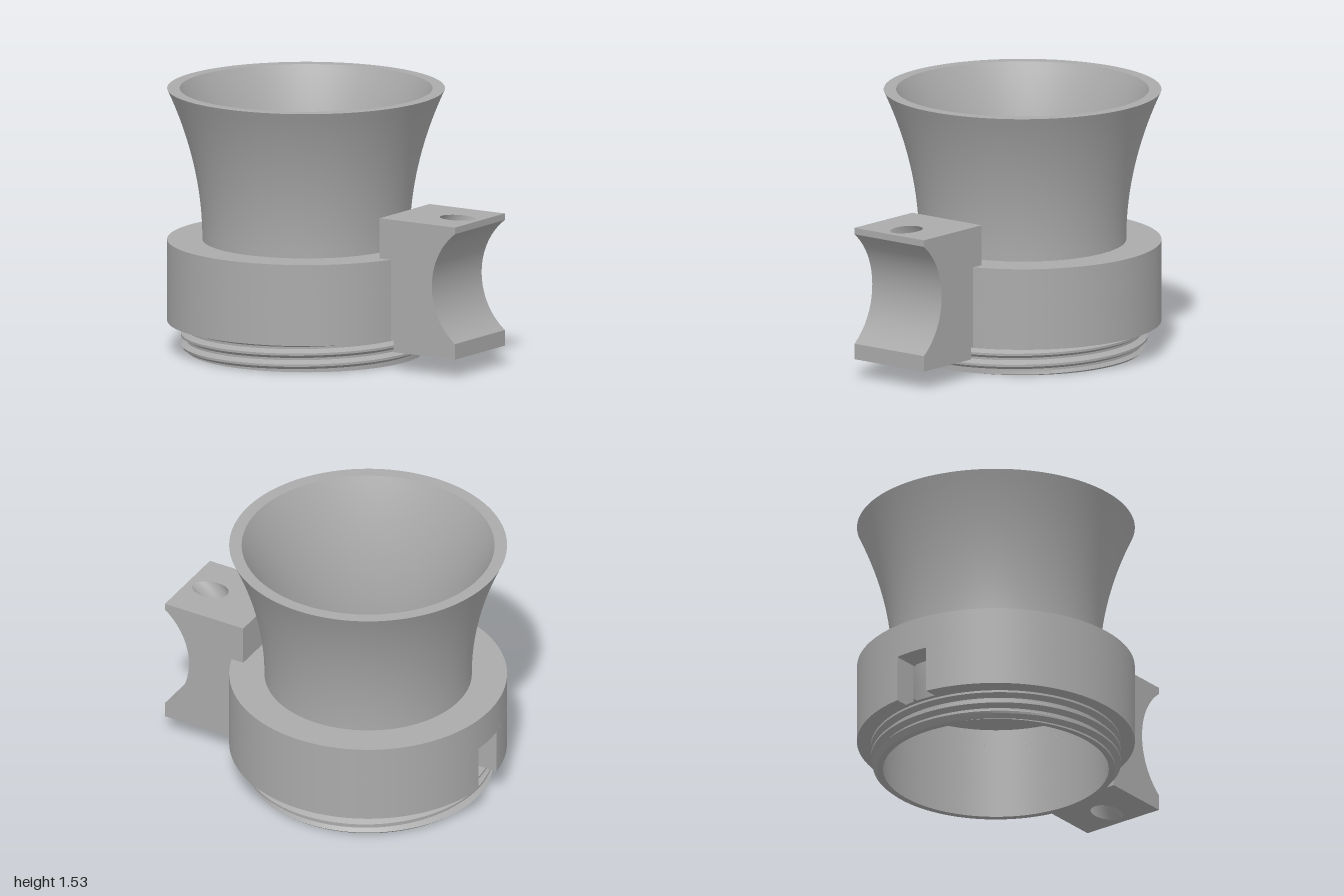
import * as THREE from 'three';
import { toCreasedNormals, mergeGeometries } from 'three/addons/utils/BufferGeometryUtils.js';

const V = (x, y) => new THREE.Vector2(x, y);
const SEG = 128;
const H = 1.535, SHOULDER = 0.65, RIM = 0.175, SLOT_TOP = 0.45, BORE = 0.65;

function lathe(points, crease = 0.5) {
  return toCreasedNormals(new THREE.LatheGeometry(points, SEG), crease);
}

// Flared funnel with shoulder, throat and inner shelf, one closed profile
function funnelGeometry() {
  const pts = [V(BORE, SLOT_TOP), V(0.8, SLOT_TOP), V(0.8, SHOULDER)];
  const n = 20;
  for (let i = 0; i <= n; i++) {
    const t = i / n;
    pts.push(V(0.597 + 0.203 * t * t, SHOULDER + (H - SHOULDER) * t));
  }
  for (let i = n; i >= 0; i--) {
    const t = i / n;
    pts.push(V(0.52 + 0.208 * t * t, SHOULDER + (H - SHOULDER) * t));
  }
  pts.push(V(0.52, 0.55), V(BORE, 0.55), V(BORE, SLOT_TOP));
  return lathe(pts);
}

// Lower collar: a C-shaped ring, open at the side slot
function collarGeometry() {
  const w = 0.105, a = Math.asin(w / 0.8), b = Math.asin(w / BORE);
  const s = new THREE.Shape();
  s.absarc(0, 0, 0.8, -Math.PI + a, Math.PI - a, false);
  s.absarc(0, 0, BORE, Math.PI - b, -Math.PI + b, true);
  s.closePath();
  const g = new THREE.ExtrudeGeometry(s, { depth: SLOT_TOP - RIM, bevelEnabled: false, curveSegments: SEG });
  g.rotateX(-Math.PI / 2).translate(0, RIM, 0);
  return toCreasedNormals(g, 0.5);
}

// Helical screw thread: a ridged profile sheared by one pitch per turn
function threadGeometry() {
  const pitch = 0.065, root = 0.685, crest = 0.72, pts = [];
  for (let k = -1; k < 4; k++) {
    for (const [f, r] of [[0, root], [0.2, root], [0.5, crest], [0.7, crest]]) pts.push(V(r, (k + f) * pitch));
  }
  const g = new THREE.LatheGeometry(pts, SEG);
  const p = g.attributes.position, rows = pts.length;
  for (let i = 0; i < p.count; i++) {
    const turn = Math.floor(i / rows) / SEG;
    const y = THREE.MathUtils.clamp(p.getY(i) + pitch * turn, 0, RIM);
    const r = Math.min(pts[i % rows].x, root + y * 1.2);
    const a = turn * Math.PI * 2;
    p.setXYZ(i, r * Math.sin(a), y, r * Math.cos(a));
  }
  return toCreasedNormals(g, 0.4);
}

// Clamp block with a concave seat and a curved tie tunnel
const HALF = 0.26, TOP = 0.885, BOTTOM = 0.11, BACK = 0.48, FOOT = 0.575;
const CX = 1.245, MID = (TOP + BOTTOM) / 2, RISE = (TOP - BOTTOM) / 2;
const TUNNEL_R = 0.56, TUNNEL_W = 0.08;

function blockGeometry() {
  const pts = [V(FOOT, BOTTOM), V(1, BOTTOM)];
  const r = 0.405, cy = 0.524, sweep = Math.acos((CX - 1) / r);
  const n = 32;
  for (let i = 0; i <= n; i++) {
    const a = -sweep + (2 * sweep * i) / n;
    pts.push(V(CX - r * Math.cos(a), cy + r * Math.sin(a)));
  }
  pts.push(V(1, TOP), V(BACK, TOP), V(BACK, 0.18), V(FOOT, 0.18));
  // Walls around the profile, leaving out the floor and the roof
  const pos = [];
  pts.forEach((a, i) => {
    const b = pts[(i + 1) % pts.length];
    if (a.y === b.y && (a.y === TOP || a.y === BOTTOM)) return;
    pos.push(a.x, a.y, HALF, a.x, a.y, -HALF, b.x, b.y, -HALF);
    pos.push(a.x, a.y, HALF, b.x, b.y, -HALF, b.x, b.y, HALF);
  });
  const walls = new THREE.BufferGeometry();
  walls.setAttribute('position', new THREE.Float32BufferAttribute(pos, 3));
  const front = new THREE.ShapeGeometry(new THREE.Shape(pts));
  front.deleteAttribute('uv');
  const back = front.clone().rotateY(Math.PI).scale(1, 1, 1);
  back.dispose();
  const mirrored = new THREE.ShapeGeometry(new THREE.Shape(pts.map(p => V(-p.x, p.y)))).rotateY(Math.PI);
  mirrored.deleteAttribute('uv');
  const parts = [
    toCreasedNormals(walls, 0.5),
    front.translate(0, 0, HALF).toNonIndexed(),
    mirrored.translate(0, 0, -HALF).toNonIndexed(),
    plate(BACK, TOP, -1),
    plate(FOOT, BOTTOM, 1),
  ];
  return mergeGeometries(parts);
}

// Roof or floor of the block, with the tunnel mouth cut out
function plate(x0, y, dir) {
  const s = new THREE.Shape([V(x0, -HALF), V(1, -HALF), V(1, HALF), V(x0, HALF)]);
  const mouth = [];
  for (let i = 0; i < 40; i++) {
    const a = (i / 40) * Math.PI * 2, rho = TUNNEL_R + TUNNEL_W * Math.cos(a);
    mouth.push(V(CX - Math.sqrt(rho * rho - RISE * RISE), TUNNEL_W * Math.sin(a)));
  }
  s.holes.push(new THREE.Path(mouth));
  const g = new THREE.ShapeGeometry(s).rotateX((dir * Math.PI) / 2).translate(0, y, 0);
  g.deleteAttribute('uv');
  return g.toNonIndexed();
}

// Curved tunnel, trimmed level with the roof and the floor
function tunnelGeometry() {
  const g = new THREE.PlaneGeometry(1, 1, 40, 24);
  const p = g.attributes.position;
  for (let i = 0; i < p.count; i++) {
    const a = (p.getX(i) + 0.5) * Math.PI * 2;
    const rho = TUNNEL_R + TUNNEL_W * Math.cos(a);
    const b = 2 * p.getY(i) * Math.asin(RISE / rho);
    p.setXYZ(i, CX - rho * Math.cos(b), MID + rho * Math.sin(b), TUNNEL_W * Math.sin(a));
  }
  g.computeVertexNormals();
  return g;
}

export function createModel() {
  const model = new THREE.Group();
  model.name = 'threadedFunnelMount';
  const grey = new THREE.MeshStandardMaterial({ color: 0xaaaaaa, side: THREE.DoubleSide });
  grey.name = 'plainGrey';
  const add = (name, geometry, parent) => {
    const m = new THREE.Mesh(geometry, grey);
    m.name = name;
    parent.add(m);
  };

  // Round body, set off to the right of the block
  const body = new THREE.Group();
  body.name = 'body';
  body.position.x = -0.2;
  add('funnel', funnelGeometry(), body);
  add('slottedCollar', collarGeometry(), body);
  add('screwThread', threadGeometry(), body);
  add('threadSleeve', lathe([V(0.686, RIM), V(BORE, RIM), V(BORE, 0), V(0.686, 0)]), body);
  model.add(body);

  // Side mount
  const mount = new THREE.Group();
  mount.name = 'clampMount';
  add('clampBlock', blockGeometry(), mount);
  add('tieTunnel', tunnelGeometry(), mount);
  model.add(mount);
  return model;
}
